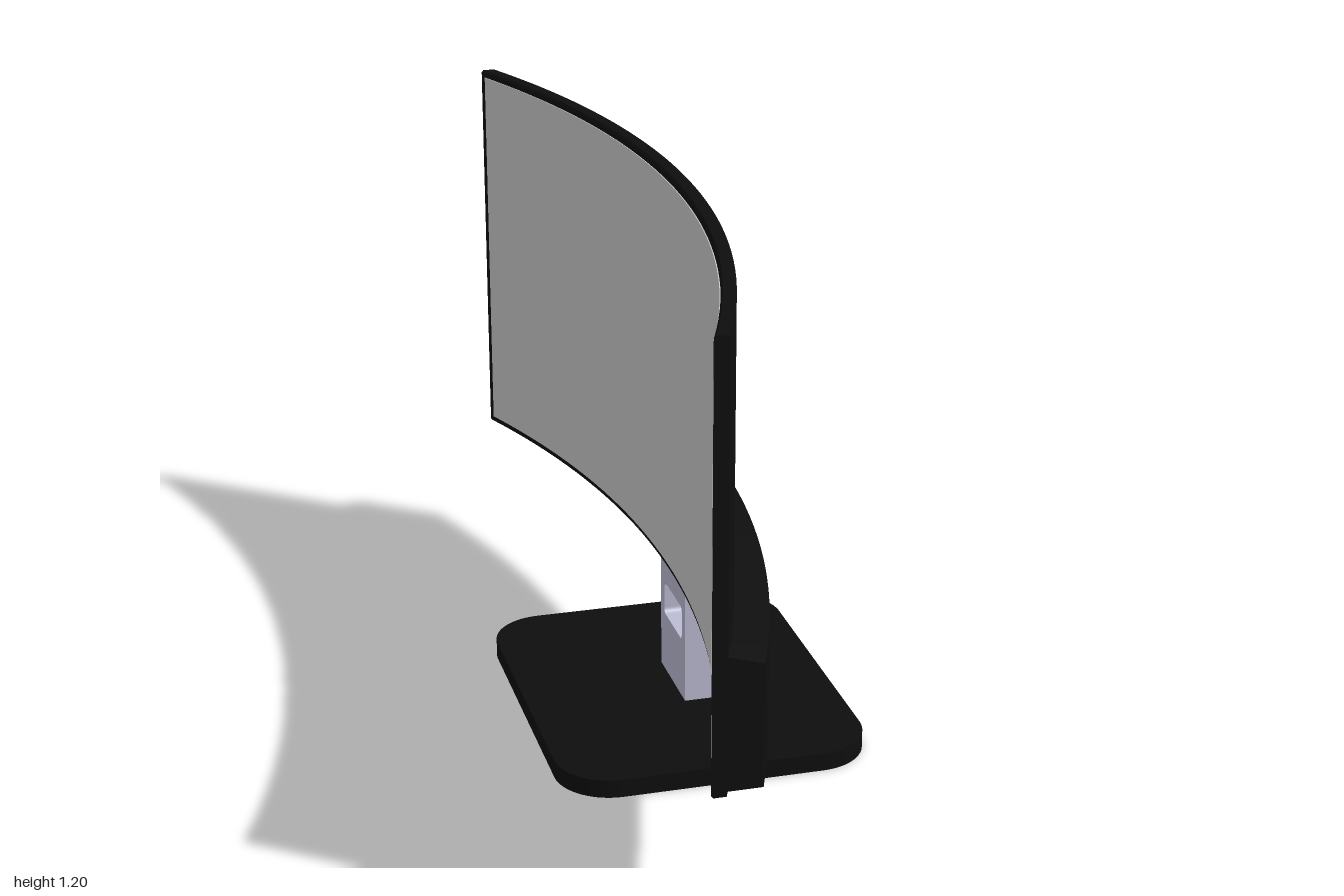
import * as THREE from 'three';

const RADIUS = 2.73;
// Sideways offset of the curved panel at depth z
const bow = (z) => Math.sqrt(RADIUS * RADIUS - z * z) - RADIUS;

// Sweeps a convex counter-clockwise (x, y) profile along the curve; smooth lengthwise, sharp across
function sweep(profile, halfLength, segments = 40) {
  const pos = [], idx = [];
  const n = profile.length;
  const add = (p, z) => pos.push(p[0] + bow(z), p[1], z) / 3 - 1;
  for (let e = 0; e < n; e++) {
    const a = profile[e], b = profile[(e + 1) % n];
    for (let i = 0; i <= segments; i++) {
      const z = -halfLength + (2 * halfLength * i) / segments;
      const ia = add(a, z), ib = add(b, z);
      if (i > 0) idx.push(ia - 2, ib - 2, ib, ia - 2, ib, ia);
    }
  }
  // End caps
  for (const side of [-1, 1]) {
    const ids = profile.map((p) => add(p, side * halfLength));
    for (let k = 1; k < n - 1; k++) {
      if (side > 0) idx.push(ids[0], ids[k], ids[k + 1]);
      else idx.push(ids[0], ids[k + 1], ids[k]);
    }
  }
  const g = new THREE.BufferGeometry();
  g.setAttribute('position', new THREE.Float32BufferAttribute(pos, 3));
  g.setIndex(idx);
  g.computeVertexNormals();
  return g;
}

// Rounded rectangle centred on (cx, cy)
function roundedRect(path, cx, cy, hw, hh, r) {
  path.moveTo(cx + hw, cy - hh + r);
  path.absarc(cx + hw - r, cy + hh - r, r, 0, Math.PI / 2);
  path.absarc(cx - hw + r, cy + hh - r, r, Math.PI / 2, Math.PI);
  path.absarc(cx - hw + r, cy - hh + r, r, Math.PI, Math.PI * 1.5);
  path.absarc(cx + hw - r, cy - hh + r, r, Math.PI * 1.5, Math.PI * 2);
  path.closePath();
  return path;
}

export function createModel() {
  const group = new THREE.Group();
  const material = (name, color) => {
    const m = new THREE.MeshStandardMaterial({ color });
    m.name = name;
    return m;
  };
  const black = material('black plastic', 0x0e0e0e);
  const grey = material('screen grey', 0xcccccc);
  const metal = material('lavender metal', 0xbcbcd4);
  const add = (name, geometry, mat) => {
    const mesh = new THREE.Mesh(geometry, mat);
    mesh.name = name;
    group.add(mesh);
    return mesh;
  };

  // Curved panel with a slightly chamfered front rim
  add('panel', sweep([
    [-0.006, 0.31], [0.02, 0.31], [0.02, 1.2], [-0.006, 1.2], [-0.01, 1.195], [-0.01, 0.315],
  ], 1), black);

  // Display surface on the concave side
  add('screen', sweep([
    [-0.012, 0.325], [-0.008, 0.325], [-0.008, 1.185], [-0.012, 1.185],
  ], 0.985), grey);

  // Thick lower housing on the convex side
  add('rearHousing', sweep([
    [0.01, 0.32], [0.09, 0.32], [0.09, 0.57], [0.02, 0.592], [0.01, 0.595],
  ], 1), black);

  // Stand column with a cable slot running through it
  const column = new THREE.Shape([
    new THREE.Vector2(-0.1, 0.04), new THREE.Vector2(0.1, 0.04),
    new THREE.Vector2(0.1, 0.33), new THREE.Vector2(-0.1, 0.33),
  ]);
  column.holes.push(roundedRect(new THREE.Path(), 0, 0.213, 0.073, 0.038, 0.012));
  const columnGeo = new THREE.ExtrudeGeometry(column, { depth: 0.07, bevelEnabled: false, curveSegments: 6 });
  columnGeo.rotateY(Math.PI / 2);
  add('standColumn', columnGeo, metal);

  // Flat rounded foot
  const foot = roundedRect(new THREE.Shape(), 0, 0, 0.336, 0.41, 0.12);
  const footGeo = new THREE.ExtrudeGeometry(foot, { depth: 0.04, bevelEnabled: false, curveSegments: 12 });
  footGeo.rotateX(-Math.PI / 2);
  add('base', footGeo, black);

  return group;
}
